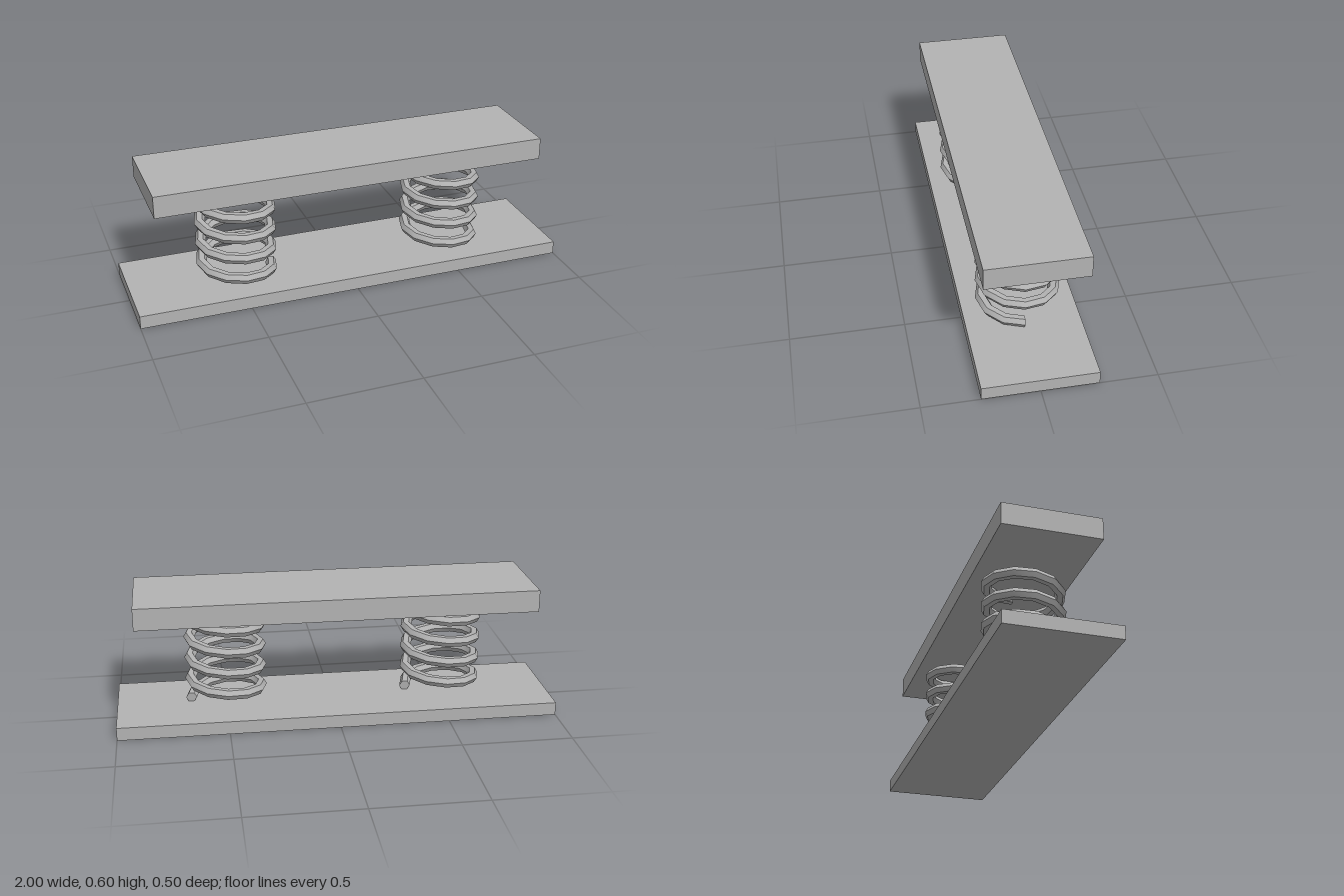
import * as THREE from 'three';
import { toCreasedNormals } from 'three/addons/utils/BufferGeometryUtils.js';

const TURNS = 4, STEPS = 12, SIDES = 6;
const COIL_RADIUS = 0.162, WIRE_RADIUS = 0.025, Y_START = 0.08, PITCH = 0.1;

// Six-sided wire swept along a helix, with flat capped ends
function coilGeometry() {
  const positions = [], index = [];
  const rings = TURNS * STEPS;
  for (let i = 0; i <= rings; i++) {
    const t = (i / STEPS) * Math.PI * 2;
    const out = new THREE.Vector3(Math.cos(t), 0, Math.sin(t));
    const along = new THREE.Vector3(-Math.sin(t) * COIL_RADIUS, PITCH / (Math.PI * 2), Math.cos(t) * COIL_RADIUS).normalize();
    const up = along.clone().cross(out);
    for (let j = 0; j < SIDES; j++) {
      const a = (j / SIDES) * Math.PI * 2;
      const p = out.clone().multiplyScalar(COIL_RADIUS + WIRE_RADIUS * Math.cos(a))
        .addScaledVector(up, WIRE_RADIUS * Math.sin(a));
      positions.push(p.x, p.y + Y_START + (PITCH * i) / STEPS, p.z);
    }
  }
  for (let i = 0; i < rings; i++) {
    for (let j = 0; j < SIDES; j++) {
      const a = i * SIDES + j, b = i * SIDES + ((j + 1) % SIDES);
      index.push(a, b, b + SIDES, a, b + SIDES, a + SIDES);
    }
  }
  const last = rings * SIDES;
  for (let j = 1; j < SIDES - 1; j++) {
    index.push(0, j + 1, j);
    index.push(last, last + j, last + j + 1);
  }
  const geometry = new THREE.BufferGeometry();
  geometry.setAttribute('position', new THREE.Float32BufferAttribute(positions, 3));
  geometry.setIndex(index);
  return toCreasedNormals(geometry, Math.PI / 4);
}

export function createModel() {
  const group = new THREE.Group();
  group.name = 'springPlatform';
  const grey = new THREE.MeshStandardMaterial({ color: 0xb3b3b3 });
  grey.name = 'grey';

  const add = (name, geometry, x, y) => {
    const mesh = new THREE.Mesh(geometry, grey);
    mesh.name = name;
    mesh.position.set(x, y, 0);
    group.add(mesh);
  };

  // Plates
  add('basePlate', new THREE.BoxGeometry(2, 0.06, 0.5), 0, 0.03);
  add('topPlate', new THREE.BoxGeometry(1.8, 0.1, 0.44), 0, 0.55);

  // Coil springs
  const coil = coilGeometry();
  add('leftSpring', coil, 0.5, 0);
  add('rightSpring', coil, -0.5, 0);

  return group;
}
